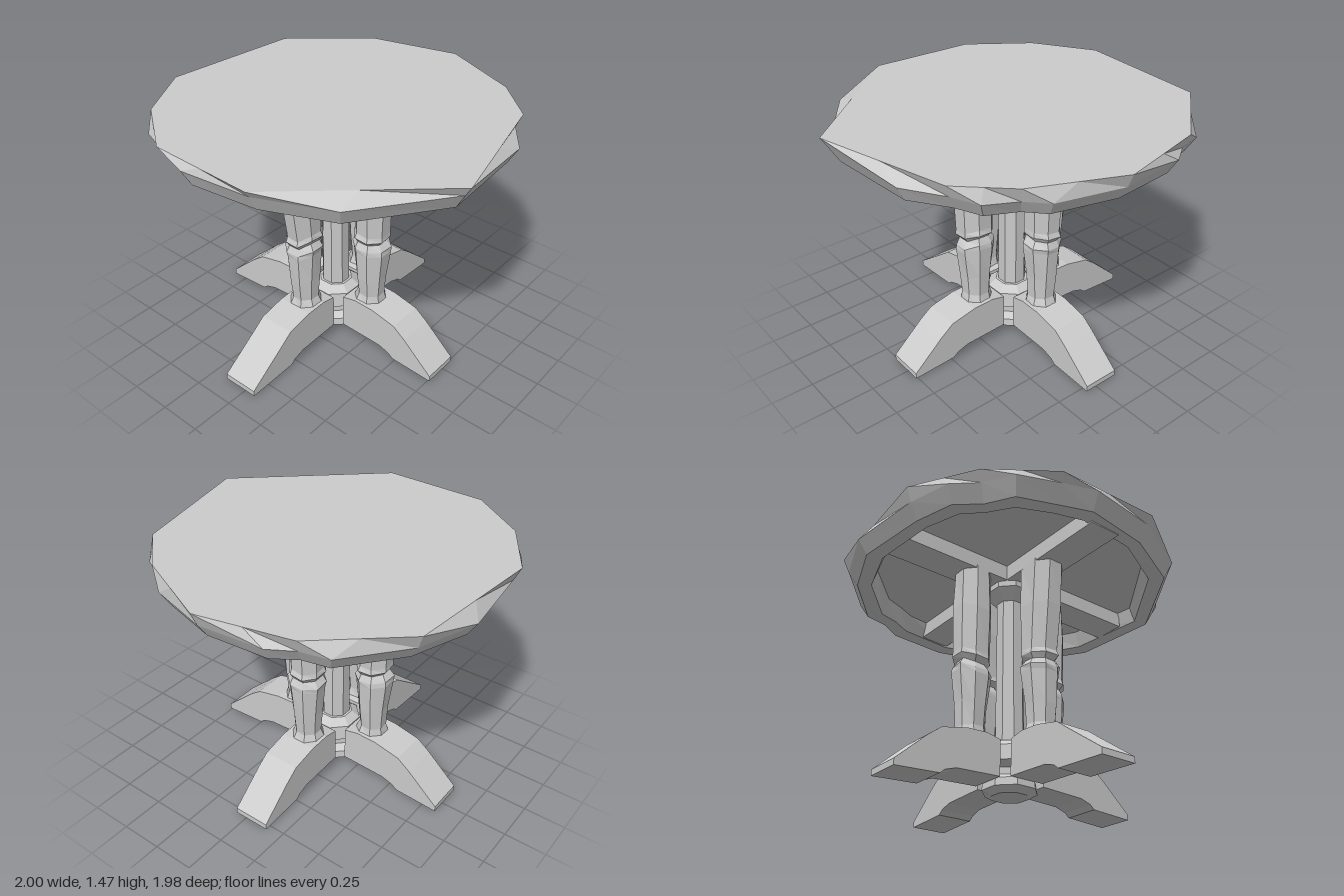
import * as THREE from 'three';

const material = new THREE.MeshStandardMaterial({ color: 0xcccccc, flatShading: true, side: THREE.DoubleSide });

function addMesh(parent, name, geometry) {
  const mesh = new THREE.Mesh(geometry, material);
  mesh.name = name;
  parent.add(mesh);
  return mesh;
}

// Repeatable wobble in -1..1
const wobble = (i) => Math.sin(i * 12.9898 + 4.1);

const lathe = (points, sides, start = 0) =>
  new THREE.LatheGeometry(points.map(([r, y]) => new THREE.Vector2(r, y)), sides, start);

// Closed skin over rings that all have the same number of points, capped at both ends
function skin(rings) {
  const n = rings[0].length;
  const positions = [], index = [];
  rings.forEach((ring) => ring.forEach((p) => positions.push(...p)));
  for (let r = 0; r < rings.length - 1; r++) {
    for (let i = 0; i < n; i++) {
      const a = r * n + i, b = r * n + (i + 1) % n;
      index.push(a, b, a + n, b, b + n, a + n);
    }
  }
  const last = (rings.length - 1) * n;
  const capY = [rings[0][0][1], rings[rings.length - 1][0][1]];
  const centre = rings.length * n;
  positions.push(0, capY[0], 0, 0, capY[1], 0);
  for (let i = 0; i < n; i++) {
    const j = (i + 1) % n;
    index.push(centre, j, i, centre + 1, last + i, last + j);
  }
  const geometry = new THREE.BufferGeometry();
  geometry.setAttribute('position', new THREE.Float32BufferAttribute(positions, 3));
  geometry.setIndex(index);
  geometry.computeVertexNormals();
  return geometry;
}

// Rough-cut round top: even points are corners of the top face, odd ones bulge below it
function tableTop() {
  const outline = [
    [0.06, -0.99], [0.43, -0.85], [0.55, -0.77], [0.70, -0.66], [0.80, -0.53],
    [0.92, -0.30], [1.00, 0.28], [0.62, 0.76], [0.23, 0.97], [-0.20, 0.985],
    [-0.41, 0.95], [-0.63, 0.83], [-0.76, 0.70], [-0.87, 0.57], [-0.98, 0.34],
    [-1.00, -0.14], [-0.91, -0.50], [-0.62, -0.80], [-0.48, -0.87], [-0.33, -0.93],
  ];
  const n = outline.length;
  const top = outline.map(([x, z], i) => {
    if (i % 2 === 0) return [x, 1.475, z];
    const a = outline[i - 1], b = outline[(i + 1) % n];
    return [(a[0] + b[0]) / 2, 1.475, (a[1] + b[1]) / 2];
  });
  const ring = (even, odd, y, rough) => outline.map(([x, z], i) => {
    const s = i % 2 ? odd : even;
    return [x * s, y + rough * wobble(i), z * s];
  });
  return skin([
    top,
    ring(0.965, 1.0, 1.41, 0.02),
    ring(0.91, 0.945, 1.318, 0.012),
    ring(0.83, 0.85, 1.325, 0.01),
    ring(0.80, 0.81, 1.42, 0),
  ]);
}

// Turned column with slightly uneven facets, spreading outward (+x) near the top
function column(spread, seed) {
  const geometry = lathe([
    [0.10, 0.29], [0.082, 0.35], [0.092, 0.48], [0.11, 0.67], [0.112, 0.70], [0.088, 0.74],
    [0.112, 0.77], [0.105, 0.80], [0.115, 1.08], [0.112, 1.34],
  ], 8, Math.PI / 8);
  const p = geometry.attributes.position;
  for (let i = 0; i < p.count; i++) {
    const x = p.getX(i), y = p.getY(i), z = p.getZ(i);
    const side = Math.round(Math.atan2(z, x) * 4 / Math.PI + 8.5) % 8;
    const k = 1 + 0.05 * wobble(side * 3 + Math.round(y * 100) + seed);
    const lift = y > 0.4 && y < 1.2 ? 0.018 * wobble(side + seed * 5) : 0;
    const out = x > 0 ? spread * Math.max(0, (y - 0.8) / 0.54) : 0;
    p.setXYZ(i, x * k + out, y + lift, z * k);
  }
  return geometry;
}

// Sloping foot, drawn in profile and extruded to its width
function foot(reach) {
  const profile = [
    [0.15, 0.08], [0.15, 0.29], [0.24, 0.31], [0.37, 0.305], [0.53, 0.27], [0.61, 0.21],
    [reach, 0.04], [reach, 0.005], [0.53, 0.02], [0.50, 0.045], [0.43, 0.068],
  ].map(([x, y]) => new THREE.Vector2(x, y));
  return new THREE.ExtrudeGeometry(new THREE.Shape(profile), { depth: 0.22, bevelEnabled: false })
    .translate(0, 0, -0.11);
}

export function createModel() {
  const model = new THREE.Group();
  model.name = 'pedestalTable';
  addMesh(model, 'tableTop', tableTop());

  const pedestal = new THREE.Group();
  pedestal.name = 'pedestal';
  pedestal.position.set(-0.04, 0, 0.025);
  model.add(pedestal);

  // Hub between the feet and the plain post rising from it
  addMesh(pedestal, 'hub', lathe([
    [0, 0.015], [0.11, 0.015], [0.16, 0.045], [0.155, 0.09], [0.11, 0.12], [0.11, 0.16],
    [0.16, 0.19], [0.15, 0.28], [0.10, 0.32], [0, 0.32],
  ], 8, Math.PI / 8));
  addMesh(pedestal, 'centrePost', lathe([
    [0.085, 0.31], [0.08, 1.22], [0.14, 1.29], [0.14, 1.42],
  ], 8, Math.PI / 8));

  // Four arms: left, back, right, front
  const reaches = [0.80, 0.81, 0.80, 0.845];
  const spreads = [0, 0, 0, 0.05];
  ['left', 'back', 'right', 'front'].forEach((side, i) => {
    const arm = new THREE.Group();
    arm.name = side + 'Arm';
    arm.rotation.y = i * Math.PI / 2;
    addMesh(arm, side + 'Foot', foot(reaches[i]));
    addMesh(arm, side + 'Column', column(spreads[i], i * 7)).position.x = 0.275;
    // Support beam under the top
    addMesh(arm, side + 'Beam', new THREE.BoxGeometry(0.74, 0.11, 0.2)).position.set(0.47, 1.38, 0);
    pedestal.add(arm);
  });
  return model;
}
